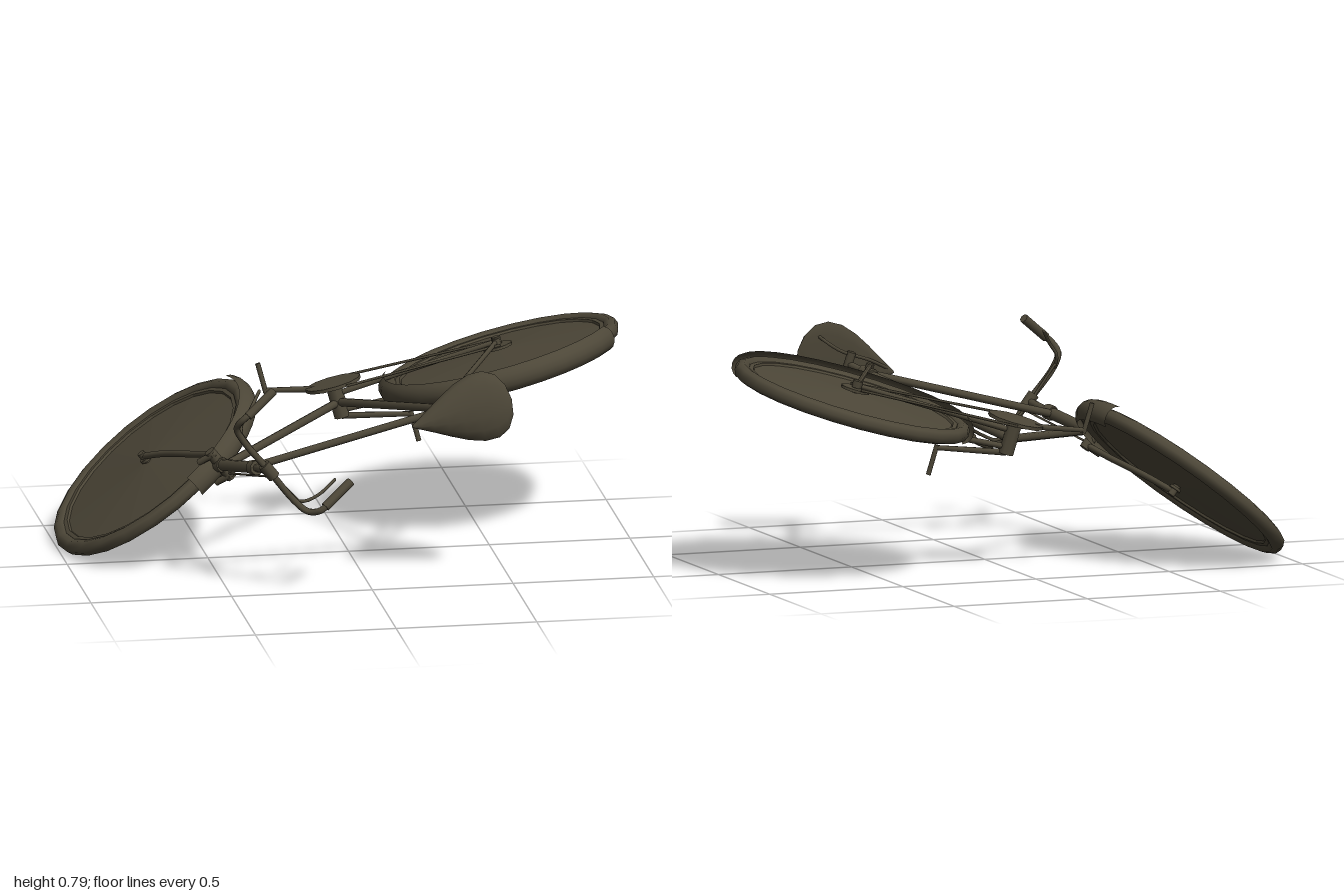
import * as THREE from 'three';

const V = (x, y, z) => new THREE.Vector3(x, y, z);

// A tilted plane y = cy + a(x-cx) + b(z-cz) with its own axes (u, n, w)
function makePlane(cx, cy, cz, a, b) {
  const n = V(-a, 1, -b).normalize();
  const u = V(1, a, 0).normalize();
  const w = u.clone().cross(n).normalize();
  const at = (x, z, h = 0) => V(x, cy + a * (x - cx) + b * (z - cz), z).addScaledVector(n, h);
  const matrix = new THREE.Matrix4().makeBasis(u, n, w).setPosition(cx, cy, cz);
  return { n, u, w, at, matrix };
}

export function createModel() {
  const root = new THREE.Group();
  root.name = 'bicycle';
  const paint = new THREE.MeshStandardMaterial({ color: 0x4d4738, side: THREE.DoubleSide });
  paint.name = 'dark olive brown';

  const add = (name, geo, parent = root) => {
    const m = new THREE.Mesh(geo, paint);
    m.name = name;
    parent.add(m);
    return m;
  };
  // Straight bar between two points
  const rod = (name, p, q, r, r2 = r, sides = 8) => {
    const m = add(name, new THREE.CylinderGeometry(r2, r, p.distanceTo(q), sides));
    m.position.copy(p).lerp(q, 0.5);
    m.quaternion.setFromUnitVectors(V(0, 1, 0), q.clone().sub(p).normalize());
    return m;
  };
  // Bent tube through points, with end caps
  const bent = (name, pts, r, steps = 16) => {
    add(name, new THREE.TubeGeometry(new THREE.CatmullRomCurve3(pts), steps, r, 7));
    for (const p of [pts[0], pts[pts.length - 1]]) {
      add(name + 'End', new THREE.SphereGeometry(r, 7, 5)).position.copy(p);
    }
  };

  const rear = makePlane(0.575, 0.628, -0.2, 0.26, 0.12);
  const front = makePlane(-0.66, 0.285, -0.21, 0.8, -0.06);
  const P = rear.at, Q = front.at;

  // Wheels: tyre, shallow cone disc, hub and mudguard
  function wheel(name, plane, guardFrom, guardTo, flange) {
    const g = new THREE.Group();
    g.name = name;
    g.applyMatrix4(plane.matrix);
    root.add(g);
    add('tyre', new THREE.TorusGeometry(0.402, 0.028, 8, 24).rotateX(Math.PI / 2), g);
    const disc = [[0, -0.03], [0.03, -0.03], [0.362, -0.008], [0.366, -0.016], [0.385, -0.016],
      [0.385, 0.016], [0.366, 0.016], [0.362, 0.008], [0.03, 0.03], [0, 0.03]];
    const lathe = new THREE.LatheGeometry(disc.map(p => new THREE.Vector2(...p)), 24).toNonIndexed();
    lathe.computeVertexNormals();
    add('spokeDisc', lathe, g);
    add('axle', new THREE.CylinderGeometry(0.014, 0.014, 0.14, 8), g);
    for (const s of [-1, 1]) {
      add('hubFlange', new THREE.CylinderGeometry(flange, flange, 0.01, 12), g).position.y = s * 0.042;
    }
    const arc = [];
    for (let i = 0; i <= 6; i++) {
      const t = (i / 6 - 0.5) * 2.5;
      arc.push(new THREE.Vector2(0.402 + 0.042 * Math.cos(t), 0.046 * Math.sin(t)));
    }
    const rad = Math.PI / 180;
    add('mudguard', new THREE.LatheGeometry(arc, 14, (90 - guardTo) * rad, (guardTo - guardFrom) * rad), g);
  }
  wheel('rearWheel', rear, 30, 200, 0.052);
  wheel('frontWheel', front, -17, 78, 0.022);

  // Frame tubes
  const bb = [0.01, -0.275], seat = [0.285, 0.40], headTop = [-0.405, 0.41], headLow = [-0.485, 0.2];
  const axle = [0.578, -0.212];
  rod('seatTube', P(...bb), P(...seat), 0.015);
  rod('topTube', P(-0.405, 0.395), P(...seat), 0.014);
  rod('downTube', P(-0.475, 0.225), P(...bb), 0.015);
  rod('headTube', P(...headLow), P(...headTop), 0.021);
  rod('headCupTop', P(-0.41, 0.4), P(-0.398, 0.43), 0.027);
  rod('headCupBottom', P(-0.493, 0.18), P(-0.481, 0.21), 0.027);
  rod('seatLug', P(0.275, 0.375), P(0.295, 0.425), 0.024);
  rod('seatClamp', P(...seat, -0.035), P(...seat, 0.035), 0.016);
  rod('bottomBracket', P(...bb, -0.055), P(...bb, 0.055), 0.028);
  for (const s of [-1, 1]) {
    rod('chainStay', P(...bb, s * 0.03), P(...axle, s * 0.058), 0.011, 0.009);
    rod('seatStay', P(...seat, s * 0.025), P(...axle, s * 0.058), 0.009);
    rod('axleNut', P(...axle, s * 0.05), P(...axle, s * 0.075), 0.018, 0.018, 6);
  }

  // Chainring, chain, cranks and pedal spindles
  rod('chainring', P(...bb, 0.062), P(...bb, 0.074), 0.1, 0.1, 12);
  rod('chainUpper', P(0.04, -0.375, 0.066), P(0.58, -0.26, 0.052), 0.005, 0.005, 5);
  rod('chainLower', P(0.04, -0.178, 0.066), P(0.58, -0.16, 0.052), 0.005, 0.005, 5);
  for (const s of [-1, 1]) {
    const end = [bb[0] - s * 0.22, bb[1] - s * 0.075];
    rod('crank', P(...bb, s * 0.05), P(...end, s * 0.1), 0.012, 0.009);
    rod('pedalSpindle', P(...end, s * 0.09), P(...end, s * 0.2), 0.009);
  }

  // Front fork
  rod('forkCrown', Q(-0.487, 0.19, -0.065), Q(-0.487, 0.19, 0.065), 0.02);
  for (const s of [-1, 1]) {
    bent('forkBlade', [Q(-0.483, 0.2, s * 0.05), Q(-0.533, 0.08, s * 0.052),
      Q(-0.603, -0.1, s * 0.052), Q(-0.66, -0.21, s * 0.054)], 0.012);
    rod('brakeArm', Q(-0.487, 0.2, s * 0.05), Q(-0.53, 0.17, s * 0.05), 0.012);
  }

  // Stem and handlebar
  const stemTop = P(-0.375, 0.545);
  rod('stem', P(...headTop), stemTop, 0.014);
  rod('stemClamp', stemTop.clone().addScaledVector(front.n, -0.03),
    stemTop.clone().addScaledVector(front.n, 0.03), 0.022);
  const back = V(0.78, 0.624, 0);
  const bar = (side, rearward, z) => {
    const p = stemTop.clone().addScaledVector(front.n, side).addScaledVector(back, rearward);
    p.z = z;
    return p;
  };
  for (const s of [-1, 1]) {
    bent('handlebar', [bar(0, 0, 0.547), bar(s * 0.15, 0, 0.545), bar(s * 0.202, 0.012, 0.56),
      bar(s * 0.22, 0.05, 0.59), bar(s * 0.22, 0.085, 0.59)], 0.012, 20);
    rod('grip', bar(s * 0.22, 0.07, 0.592), bar(s * 0.22, 0.195, 0.555), 0.016);
    bent('brakeLever', [bar(s * 0.15, 0, 0.535), bar(s * 0.185, 0.03, 0.51),
      bar(s * 0.2, 0.08, 0.5), bar(s * 0.215, 0.15, 0.44)], 0.006, 10);
    rod('brakeRod', bar(s * 0.02, 0, 0.53), bar(s * 0.17, 0.01, 0.525), 0.005, 0.005, 5);
  }
  rod('brakeCable', bar(-0.035, 0, 0.53), Q(-0.49, 0.19, -0.04), 0.004, 0.004, 5);

  // Seat post, clamp and rails
  rod('seatPost', P(...seat), P(0.325, 0.505), 0.013);
  rod('saddleClamp', P(0.322, 0.495, -0.045), P(0.322, 0.495, 0.045), 0.017);
  for (const s of [-1, 1]) {
    bent('saddleRail', [P(0.17, 0.525, s * 0.012), P(0.25, 0.503, s * 0.03),
      P(0.36, 0.497, s * 0.04), P(0.42, 0.515, s * 0.06), P(0.43, 0.55, s * 0.065)], 0.006);
  }

  // Saddle: a sphere narrowed to the nose and flattened below
  const saddle = new THREE.SphereGeometry(1, 14, 10).rotateZ(Math.PI / 2);
  const pos = saddle.attributes.position;
  for (let i = 0; i < pos.count; i++) {
    const t = (pos.getX(i) + 1) / 2;
    const up = pos.getZ(i);
    const side = pos.getY(i);
    const p = P(0.135 + 0.35 * t, 0.53 + 0.032 * t, 0);
    p.addScaledVector(rear.n, side * 0.145 * (0.15 + 1.13 * t));
    p.z += up * (up > 0 ? 0.026 + 0.012 * t : 0.022) - 0.012 * side * side;
    pos.setXYZ(i, p.x, p.y, p.z);
  }
  saddle.computeVertexNormals();
  add('saddle', saddle);

  return root;
}
